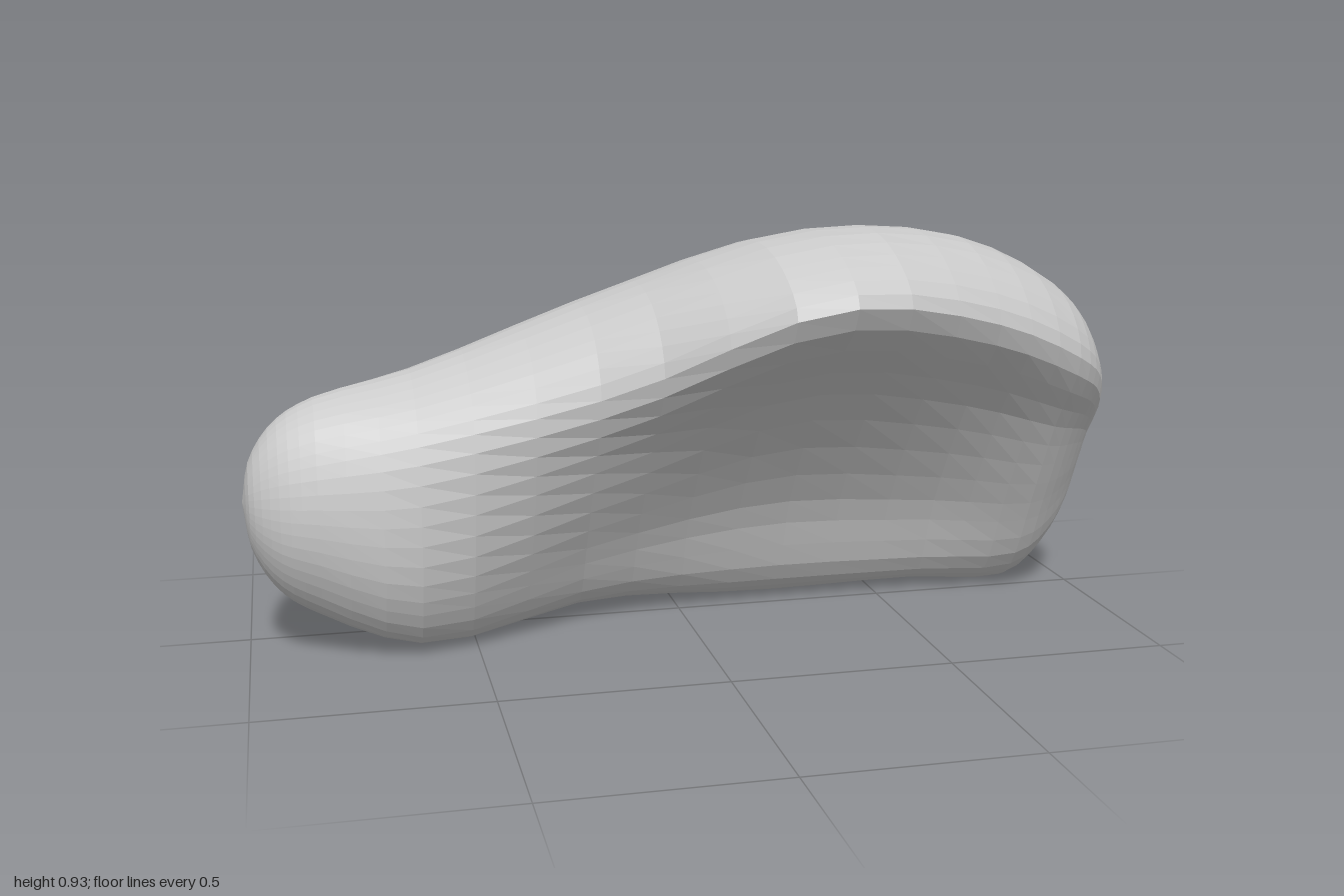
import * as THREE from 'three';

const AROUND = 40, ALONG = 36;

// Cross-sections at x: ten [z, y] points running front lip, top, back, bottom, hollow front
const SECTIONS = [
  [-0.85, [[.24, .46], [.185, .545], [.08, .575], [-.06, .5], [-.14, .36], [-.07, .19], [.06, .095], [.17, .12], [.24, .22], [.262, .34]]],
  [-0.62, [[.275, .5], [.2, .59], [.06, .63], [-.16, .545], [-.3, .37], [-.18, .15], [.03, .02], [.18, .03], [.265, .15], [.297, .33]]],
  [-0.2, [[.355, .61], [.28, .73], [.06, .78], [-.27, .67], [-.53, .38], [-.33, .13], [-.08, .03], [.03, .06], [.13, .22], [.26, .43]]],
  [0.2, [[.575, .805], [.45, .895], [.18, .925], [-.26, .765], [-.575, .38], [-.38, .13], [-.11, .005], [0, .06], [.1, .28], [.33, .58]]],
  [0.6, [[.45, .745], [.35, .86], [.13, .905], [-.22, .74], [-.475, .39], [-.32, .13], [-.1, .015], [0, .06], [.09, .26], [.27, .53]]],
  [0.85, [[.355, .64], [.28, .75], [.1, .79], [-.13, .67], [-.3, .4], [-.19, .13], [-.06, .02], [.03, .07], [.13, .25], [.24, .46]]],
];
const RIGHT_TIP = new THREE.Vector3(-1, 0.36, 0.12);
const LEFT_TIP = new THREE.Vector3(1, 0.38, 0.03);

// Rounded end: a point of the end section drawn in towards the tip, as [advance, scale]
const END_STEPS = [[0.53, 0.78], [0.88, 0.43], [1, 0]];
const endPoints = (p, tip) => END_STEPS.map(([advance, scale]) => new THREE.Vector3(
  THREE.MathUtils.lerp(p.x, tip.x, advance),
  THREE.MathUtils.lerp(tip.y, p.y, scale),
  THREE.MathUtils.lerp(tip.z, p.z, scale)));

function bodyGeometry() {
  // Smooth closed loop through each section
  const loops = SECTIONS.map(([x, pts]) =>
    new THREE.CatmullRomCurve3(pts.map(([z, y]) => new THREE.Vector3(x, y, z)), true));

  // Smooth lengthwise curves from tip to tip
  const rings = Array.from({ length: ALONG + 1 }, () => []);
  for (let j = 0; j < AROUND; j++) {
    const middle = loops.map(l => l.getPoint(j / AROUND));
    const rail = new THREE.CatmullRomCurve3([
      ...endPoints(middle[0], RIGHT_TIP).reverse(),
      ...middle,
      ...endPoints(middle[middle.length - 1], LEFT_TIP),
    ]);
    rings.forEach((ring, i) => ring.push(rail.getPoint(i / ALONG)));
  }

  // Skin between rings, single triangles at the tips
  const index = [];
  for (let i = 0; i < ALONG; i++) {
    for (let j = 0; j < AROUND; j++) {
      const n = (j + 1) % AROUND;
      const a = i * AROUND + j, b = a + AROUND;
      const c = i * AROUND + n, d = c + AROUND;
      if (i > 0) index.push(a, b, c);
      if (i < ALONG - 1) index.push(b, d, c);
    }
  }
  const geo = new THREE.BufferGeometry().setFromPoints(rings.flat());
  geo.setIndex(index);
  geo.computeVertexNormals();
  geo.computeBoundingBox();
  geo.translate(0, -geo.boundingBox.min.y, 0);
  return geo;
}

export function createModel() {
  const group = new THREE.Group();
  group.name = 'bentOrganShape';
  const material = new THREE.MeshStandardMaterial({ color: 0xcccccc, flatShading: true });
  const body = new THREE.Mesh(bodyGeometry(), material);
  body.name = 'lobedBody';
  group.add(body);
  return group;
}
